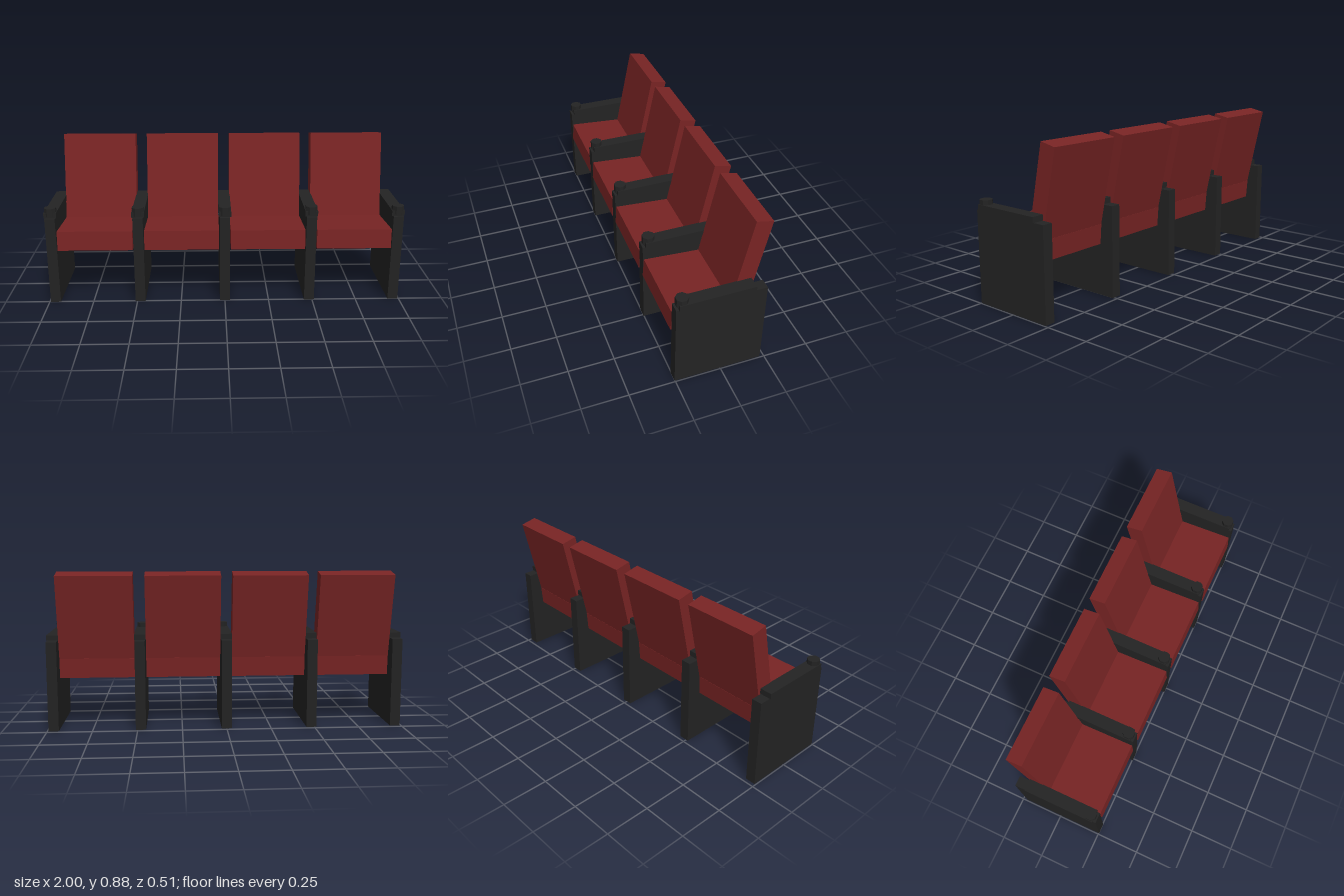
import * as THREE from 'three';

const upholstery = new THREE.MeshStandardMaterial({ name: 'red upholstery', color: 0x782424 });
const frame = new THREE.MeshStandardMaterial({ name: 'black frame', color: 0x232323 });
frame.flatShading = true;

const PITCH = 0.4825; // spacing between side panels
const SEATS = 4;

function addBox(parent, name, material, size, position, tilt = 0) {
  const mesh = new THREE.Mesh(new THREE.BoxGeometry(...size), material);
  mesh.name = name;
  mesh.position.set(...position);
  mesh.rotation.x = tilt;
  parent.add(mesh);
}

// Side panel with armrest and octagonal cup holder at its front end
function createDivider() {
  const divider = new THREE.Group();
  divider.name = 'divider';
  addBox(divider, 'sidePanel', frame, [0.057, 0.5, 0.481], [0, 0.25, 0.0125]);
  addBox(divider, 'armrest', frame, [0.07, 0.03, 0.402], [0, 0.515, 0.036]);
  const cup = new THREE.Mesh(new THREE.CylinderGeometry(0.034, 0.034, 0.047, 8), frame);
  cup.name = 'cupHolder';
  cup.rotation.y = Math.PI / 8;
  cup.position.set(0, 0.5315, 0.2135);
  divider.add(cup);
  return divider;
}

// Cushion raised slightly at the front, with a reclined backrest
function createSeat() {
  const seat = new THREE.Group();
  seat.name = 'seat';
  addBox(seat, 'cushion', upholstery, [0.417, 0.11, 0.407], [0, 0.355, 0.05], -0.0733);
  addBox(seat, 'backrest', upholstery, [0.417, 0.52, 0.094], [0, 0.617, -0.155], -0.21);
  return seat;
}

export function createModel() {
  const model = new THREE.Group();
  model.name = 'seatRow';
  for (let i = 0; i <= SEATS; i++) {
    const divider = createDivider();
    divider.position.x = (i - SEATS / 2) * PITCH;
    model.add(divider);
  }
  for (let i = 0; i < SEATS; i++) {
    const seat = createSeat();
    seat.position.x = (i - (SEATS - 1) / 2) * PITCH;
    model.add(seat);
  }
  return model;
}
